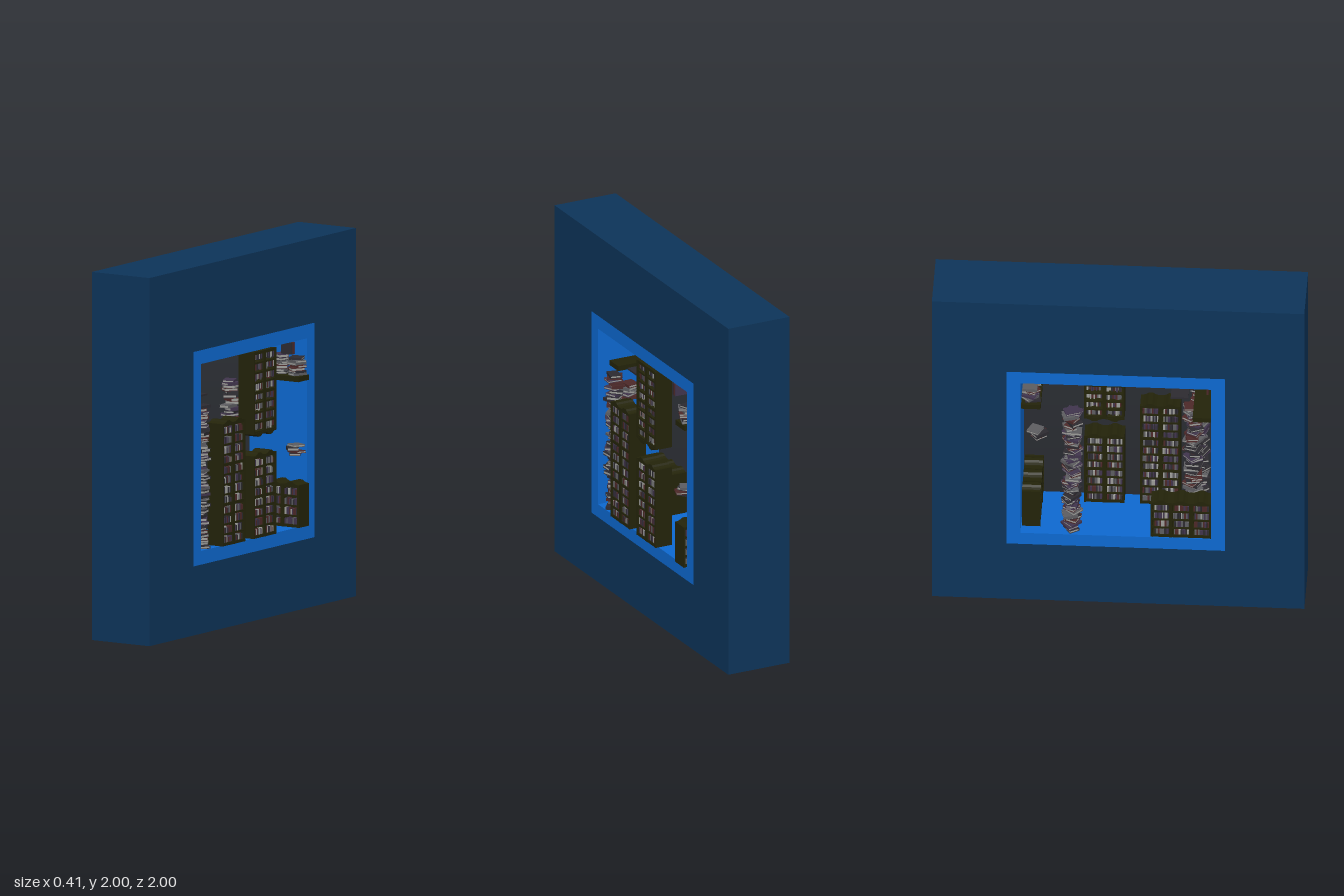
import * as THREE from 'three';
import { mergeGeometries } from 'three/addons/utils/BufferGeometryUtils.js';

const colours = {
  frameNavy: 0x0d3459, roomBlue: 0x0d68cf, shelfOlive: 0x232309, bookCharcoal: 0x2c2a30,
  bookMaroon: 0x4c2828, bookPlum: 0x40344c, bookGrey: 0x5c5c60, pageGrey: 0x9c9c98,
};

export function createModel() {
  const model = new THREE.Group();
  const mats = {};
  for (const [name, color] of Object.entries(colours)) {
    mats[name] = new THREE.MeshStandardMaterial({ color });
    mats[name].name = name;
  }
  const covers = ['bookCharcoal', 'bookMaroon', 'bookPlum', 'bookGrey'];

  let seed = 7;
  const rnd = (a = 0, b = 1) => {
    seed = (seed * 16807) % 2147483647;
    return a + (b - a) * seed / 2147483647;
  };
  const pick = list => list[Math.floor(rnd(0, list.length * 0.9999))];

  // Collects boxes by material, then turns each material into one mesh
  const collector = name => {
    const buckets = {};
    return {
      box(mat, w, h, d, x, y, z, matrix) {
        const g = new THREE.BoxGeometry(w, h, d).translate(x, y, z);
        if (matrix) g.applyMatrix4(matrix);
        (buckets[mat] ??= []).push(g);
      },
      build() {
        const group = new THREE.Group();
        group.name = name;
        for (const [mat, list] of Object.entries(buckets)) {
          const mesh = new THREE.Mesh(mergeGeometries(list), mats[mat]);
          mesh.name = `${name} ${mat}`;
          group.add(mesh);
        }
        model.add(group);
        return group;
      },
    };
  };

  // Square wall with an opening, and the bright lining inside it
  const rect = (Type, z0, z1, y0, y1) => new Type([
    new THREE.Vector2(-z0, y0), new THREE.Vector2(-z1, y0),
    new THREE.Vector2(-z1, y1), new THREE.Vector2(-z0, y1)]);
  const ring = (name, mat, outer, inner) => {
    const shape = rect(THREE.Shape, ...outer);
    shape.holes.push(rect(THREE.Path, ...inner));
    const g = new THREE.ExtrudeGeometry(shape, { depth: 0.37, bevelEnabled: false });
    g.rotateY(Math.PI / 2).translate(-0.2, 0, 0);
    const mesh = new THREE.Mesh(g, mats[mat]);
    mesh.name = name;
    model.add(mesh);
  };
  const opening = [0.575, -0.6, 0.375, 1.54];
  ring('wallFrame', 'frameNavy', [1, -1, 0, 2], opening);
  ring('openingLining', 'roomBlue', opening, [0.5, -0.525, 0.45, 1.465]);

  // Double-sided bookcase, width on x, books facing +z and -z
  const colW = 0.108, rowH = 0.054, depth = 0.1;
  function bookcase(name, cols, rows) {
    const c = collector(name);
    const W = cols * colW, H = rows * rowH + 0.012;
    c.box('shelfOlive', W, H, 0.012, 0, H / 2, 0);
    for (let i = 0; i < cols; i++) {
      const left = -W / 2 + i * colW;
      for (const s of [-1, 1]) for (const e of [0.005, colW - 0.005]) {
        c.box('shelfOlive', 0.01, H + 0.004, 0.044, left + e, H / 2 + 0.002, s * 0.028);
      }
      for (let j = 0; j <= rows; j++) {
        const thick = j % 4 === 0 ? 0.016 : 0.01;
        c.box('shelfOlive', colW, thick, depth - 0.004, left + colW / 2, j * rowH + 0.008, 0);
        if (j === rows) continue;
        for (const s of [-1, 1]) {
          let x = left + 0.012;
          while (x < left + colW - 0.02) {
            const w = rnd(0.006, 0.012), h = rnd(0.028, 0.041);
            const mat = rnd() < 0.16 ? 'pageGrey' : pick(covers);
            c.box(mat, w * 0.94, h, 0.032, x + w / 2, j * rowH + 0.012 + h / 2, s * 0.026);
            x += w;
          }
        }
      }
    }
    const group = c.build();
    // Low curved crown over each column
    for (let i = 0; i < cols; i++) {
      const s = new THREE.Shape();
      s.moveTo(-colW / 2, 0);
      s.lineTo(colW / 2, 0);
      s.lineTo(colW / 2, 0.005);
      s.quadraticCurveTo(colW / 4, 0.008, 0.012, 0.022);
      s.lineTo(-0.012, 0.022);
      s.quadraticCurveTo(-colW / 4, 0.008, -colW / 2, 0.005);
      const g = new THREE.ExtrudeGeometry(s, { depth, bevelEnabled: false, curveSegments: 3 });
      g.translate(-W / 2 + (i + 0.5) * colW, H - 0.003, -depth / 2);
      const crown = new THREE.Mesh(g, mats.shelfOlive);
      crown.name = `${name} crown`;
      group.add(crown);
    }
    return group;
  }
  const place = (g, x, y, z, turn = Math.PI / 2, flip = 0) => {
    g.position.set(x, y, z);
    g.rotation.set(0, turn, flip);
  };
  place(bookcase('tallBookcase', 2, 12), 0.14, 0.45, 0.21);
  place(bookcase('middleBookcase', 2, 8), 0.14, 0.45, -0.09);
  place(bookcase('hangingBookcase', 2, 8), 0.14, 1.463, -0.09, Math.PI / 2, Math.PI);
  place(bookcase('lowBookcaseLeft', 3, 4), -0.145, 0.45, 0.337);
  place(bookcase('lowBookcaseRight', 3, 4), 0.025, 0.45, -0.47, 0);

  // One closed book: two covers, a spine and a page block
  const book = (c, matrix, w, t, d) => {
    const mat = pick(covers);
    for (const s of [-1, 1]) c.box(mat, w, 0.003, d, 0, s * (t / 2 - 0.0015), 0, matrix);
    c.box(mat, 0.003, t, d, -w / 2, 0, 0, matrix);
    c.box('pageGrey', w * 0.94, t - 0.005, d * 0.94, 0, 0, 0, matrix);
  };
  const matrixAt = (x, y, z, turn, tilt = 0) => new THREE.Matrix4()
    .makeRotationFromEuler(new THREE.Euler(tilt, turn, 0)).setPosition(x, y, z);

  // Untidy stacks of books
  function stack(name, x, z, y0, y1, wobble = 0.014) {
    const c = collector(name);
    for (let y = y0; y < y1 - 0.008;) {
      const t = rnd(0.012, 0.019);
      book(c, matrixAt(x + rnd(-wobble, wobble), y + t / 2, z + rnd(-wobble, wobble),
        rnd(0, Math.PI * 2), rnd(-0.04, 0.04)), rnd(0.055, 0.07), t, rnd(0.07, 0.085));
      y += t;
    }
    c.build();
  }
  stack('bookStackLeft', 0.11, 0.42, 0.45, 1.225);
  stack('bookStackLeaning', 0.05, 0.39, 0.45, 1.175);
  stack('bookStackBack', -0.14, -0.25, 0.45, 1.26);
  stack('floatingBooks', 0.145, -0.455, 0.84, 0.895);
  for (const x of [-0.08, 0.04, 0.14]) stack('wallShelfBooks', x, -0.472, 1.272, 1.37, 0.01);

  // Wall shelves on both end walls
  const shelves = collector('wallShelves');
  shelves.box('shelfOlive', 0.3, 0.028, 0.1, -0.05, 1.256, 0.45);
  shelves.box('shelfOlive', 0.32, 0.028, 0.105, 0.025, 1.256, -0.472);
  shelves.build();

  // Loose books floating below the ceiling and near the shelf
  const loose = collector('looseBooks');
  loose.box('bookMaroon', 0.1, 0.1, 0.012, -0.06, 1.41, 0.475);
  loose.box('bookCharcoal', 0.08, 0.01, 0.095, 0.02, 1.26, 0.32);
  for (let i = 0; i < 3; i++) {
    loose.box(covers[i], 0.07, 0.065, 0.01, 0.14, 1.43, -0.374 - i * 0.012);
  }
  loose.build();
  return model;
}
